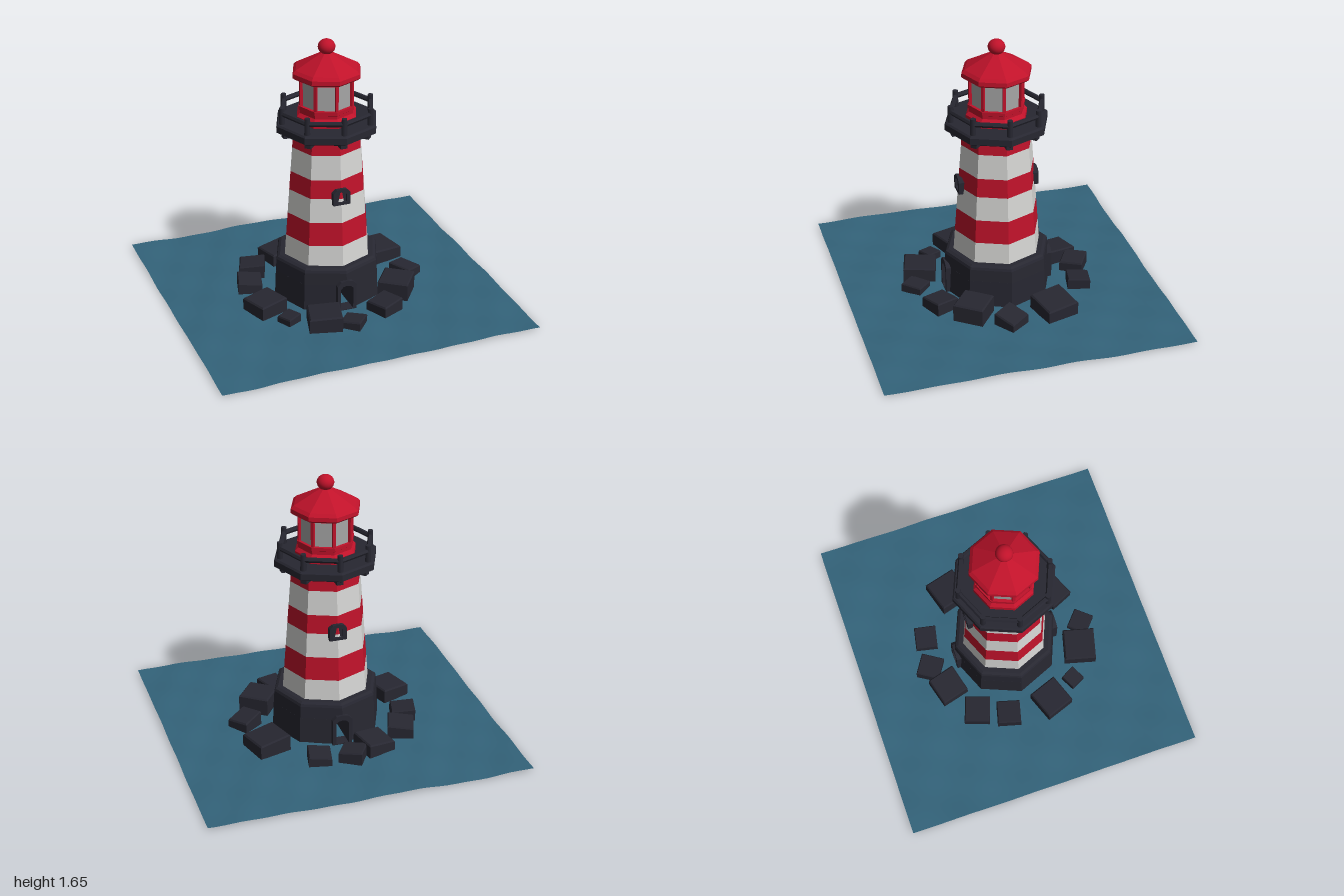
import * as THREE from 'three';

const mat = (name, color, extra = {}) => {
  const m = new THREE.MeshStandardMaterial({ color, ...extra });
  m.name = name;
  return m;
};

// Faceted normals for low-poly parts
const flat = (geo) => {
  const g = geo.index ? geo.toNonIndexed() : geo;
  g.computeVertexNormals();
  return g;
};

export function createModel() {
  const model = new THREE.Group();
  model.name = 'lighthouse';
  const white = mat('white paint', 0xd6d6d4);
  const red = mat('red paint', 0xc0122a);
  const dark = mat('dark stone', 0x272731);
  const glass = mat('lantern glass', 0xa6a6a6);
  const water = mat('sea water', 0x33637a, { side: THREE.DoubleSide });

  const add = (name, geo, material, parent = model) => {
    const mesh = new THREE.Mesh(geo, material);
    mesh.name = name;
    parent.add(mesh);
    return mesh;
  };
  // Eight-sided solid turned from [radius, y] points, corners on the axes
  const octagon = (name, points, material) =>
    add(name, flat(new THREE.LatheGeometry(points.map(([r, y]) => new THREE.Vector2(r, y)), 8)), material);
  // Repeats a part at each of the eight corners
  const atCorners = (name, geo, material, r, y) => {
    for (let i = 0; i < 8; i++) {
      const a = (i * Math.PI) / 4;
      const mesh = add(name, geo, material);
      mesh.position.set(Math.sin(a) * r, y, Math.cos(a) * r);
      mesh.rotation.y = a;
    }
  };

  // Sea: gently rippled sheet
  const sea = new THREE.PlaneGeometry(2, 1.9, 40, 38).rotateX(-Math.PI / 2);
  const p = sea.attributes.position;
  for (let i = 0; i < p.count; i++) {
    const x = p.getX(i), z = p.getZ(i);
    p.setY(i, 0.014 + 0.004 * Math.sin(7 * x + 4 * z) + 0.003 * Math.sin(15 * z - 9 * x + 1) + 0.002 * Math.sin(23 * x + 11 * z));
  }
  sea.computeVertexNormals();
  add('sea', sea, water);

  // Rocks: x, z, width, turn in degrees, top height, tilt
  const rocks = [
    [-0.17, -0.44, 0.18, 15, 0.10, 0.1], [-0.01, -0.51, 0.145, -32, 0.09, -0.1],
    [0.19, -0.475, 0.14, -12, 0.08, 0.1], [0.45, -0.235, 0.21, 16, 0.11, -0.1],
    [0.51, 0.055, 0.145, 35, 0.09, -0.2], [0.365, 0.25, 0.19, -37, 0.13, 0],
    [0.215, 0.42, 0.155, 24, 0.09, 0.1], [-0.03, 0.515, 0.13, -42, 0.065, 0.1],
    [-0.19, 0.45, 0.2, -15, 0.11, 0.05], [-0.375, 0.34, 0.1, 27, 0.065, 0.1],
    [-0.465, 0.16, 0.19, 20, 0.105, 0.05], [-0.465, -0.13, 0.15, -15, 0.09, -0.1],
    [-0.385, -0.315, 0.16, -20, 0.1, 0.1],
  ];
  for (const [x, z, w, deg, top, tilt] of rocks) {
    const g = new THREE.BoxGeometry(w, 1, w, 1, 2, 1);
    const v = g.attributes.position;
    for (let i = 0; i < v.count; i++) {
      const level = v.getY(i) + 0.5; // 0 foot, 0.5 shoulder, 1 top
      const s = level > 0.9 ? 0.92 : 1;
      const vx = v.getX(i) * s, vz = v.getZ(i) * s;
      const y = level < 0.1 ? 0.017 : top - (level < 0.9 ? 0.009 : 0) + tilt * vx + tilt * 0.5 * vz;
      v.setXYZ(i, vx, y, vz);
    }
    const rock = add('rock', flat(g), dark);
    rock.position.set(x, 0, z);
    rock.rotation.y = (deg * Math.PI) / 180;
  }

  // Stone base: two halves either side of the passage, capped above it
  const R = 0.345, D = R * Math.SQRT1_2, gap = 0.042;
  const edgeZ = R - gap * Math.tan(Math.PI / 8);
  for (const s of [1, -1]) {
    const half = new THREE.Shape(
      [[gap, edgeZ], [D, D], [R, 0], [D, -D], [gap, -edgeZ]].map(([x, z]) => new THREE.Vector2(s * x, z)));
    const g = new THREE.ExtrudeGeometry(half, { depth: 0.168, bevelEnabled: false })
      .rotateX(-Math.PI / 2).translate(0, 0.017, 0);
    const v = g.attributes.position;
    for (let i = 0; i < v.count; i++) {
      const k = 1 - (0.025 * v.getY(i)) / 0.185;
      v.setX(i, v.getX(i) * k);
      v.setZ(i, v.getZ(i) * k);
    }
    add('baseHalf', flat(g), dark);
  }
  octagon('baseTop', [[0, 0.185], [0.336, 0.185], [0.331, 0.262], [0.325, 0.278], [0.308, 0.288], [0, 0.288]], dark);

  // Arched frames for doorways and windows, front and back
  const arch = (shape, w, y0, y1) => {
    const c = w * 0.55;
    shape.moveTo(-w, y0);
    shape.lineTo(w, y0);
    shape.lineTo(w, y1 - c);
    shape.lineTo(w * 0.6, y1 - c * 0.25);
    shape.lineTo(0, y1);
    shape.lineTo(-w * 0.6, y1 - c * 0.25);
    shape.lineTo(-w, y1 - c);
    shape.closePath();
    return shape;
  };
  const frame = (outer, inner, depth) => {
    const shape = arch(new THREE.Shape(), ...outer);
    shape.holes.push(arch(new THREE.Path(), ...inner));
    return new THREE.ExtrudeGeometry(shape, { depth, bevelEnabled: false });
  };
  for (const turn of [0, Math.PI]) {
    const side = new THREE.Group();
    side.name = turn ? 'backOpenings' : 'frontOpenings';
    side.rotation.y = turn;
    model.add(side);
    add('doorFrame', frame([0.062, 0.017, 0.22], [0.04, 0.022, 0.185], 0.08), dark, side).position.z = 0.262;
    add('windowFrame', frame([0.054, 0.69, 0.797], [0.03, 0.708, 0.775], 0.06), dark, side).position.z = 0.192;
    add('windowPane', new THREE.BoxGeometry(0.07, 0.08, 0.03), dark, side).position.set(0, 0.74, 0.222);
  }

  // Tapering tower in alternating bands
  const radiusAt = (y) => 0.277 - (y - 0.28) * 0.077;
  const bands = [0.28, 0.42, 0.57, 0.725, 0.845, 1.0, 1.12];
  for (let i = 0; i < bands.length - 1; i++) {
    const [a, b] = [bands[i], bands[i + 1]];
    octagon('towerBand', [[radiusAt(a), a], [radiusAt(b), b]], i % 2 ? red : white);
  }

  // Gallery deck with brackets, posts and handrail
  octagon('galleryDeck', [[0.2, 1.1], [0.3, 1.1], [0.32, 1.112], [0.32, 1.152], [0.31, 1.162], [0.15, 1.162]], dark);
  atCorners('bracket', new THREE.BoxGeometry(0.04, 0.045, 0.1), dark, 0.23, 1.093);
  atCorners('railPost', new THREE.CylinderGeometry(0.017, 0.019, 0.11, 8), dark, 0.283, 1.21);
  add('handrail', flat(new THREE.TorusGeometry(0.283, 0.016, 6, 8).rotateX(Math.PI / 2)), dark).position.y = 1.228;

  // Lantern room
  octagon('lanternBase', [[0.19, 1.15], [0.19, 1.195], [0.17, 1.215], [0.17, 1.235], [0.178, 1.24], [0.178, 1.262], [0, 1.262]], red);
  octagon('lanternGlass', [[0.158, 1.26], [0.158, 1.44]], glass);
  atCorners('lanternPost', new THREE.BoxGeometry(0.018, 0.18, 0.022), red, 0.16, 1.345);
  octagon('lanternHead', [[0.158, 1.42], [0.174, 1.42], [0.174, 1.445]], red);

  // Roof and ball finial
  octagon('roof', [[0, 1.432], [0.2, 1.432], [0.216, 1.445], [0.214, 1.47], [0.195, 1.488], [0.035, 1.575], [0, 1.58]], red);
  const ball = add('finial', new THREE.SphereGeometry(0.052, 20, 14), red);
  ball.position.y = 1.613;
  ball.scale.y = 0.9;

  return model;
}
